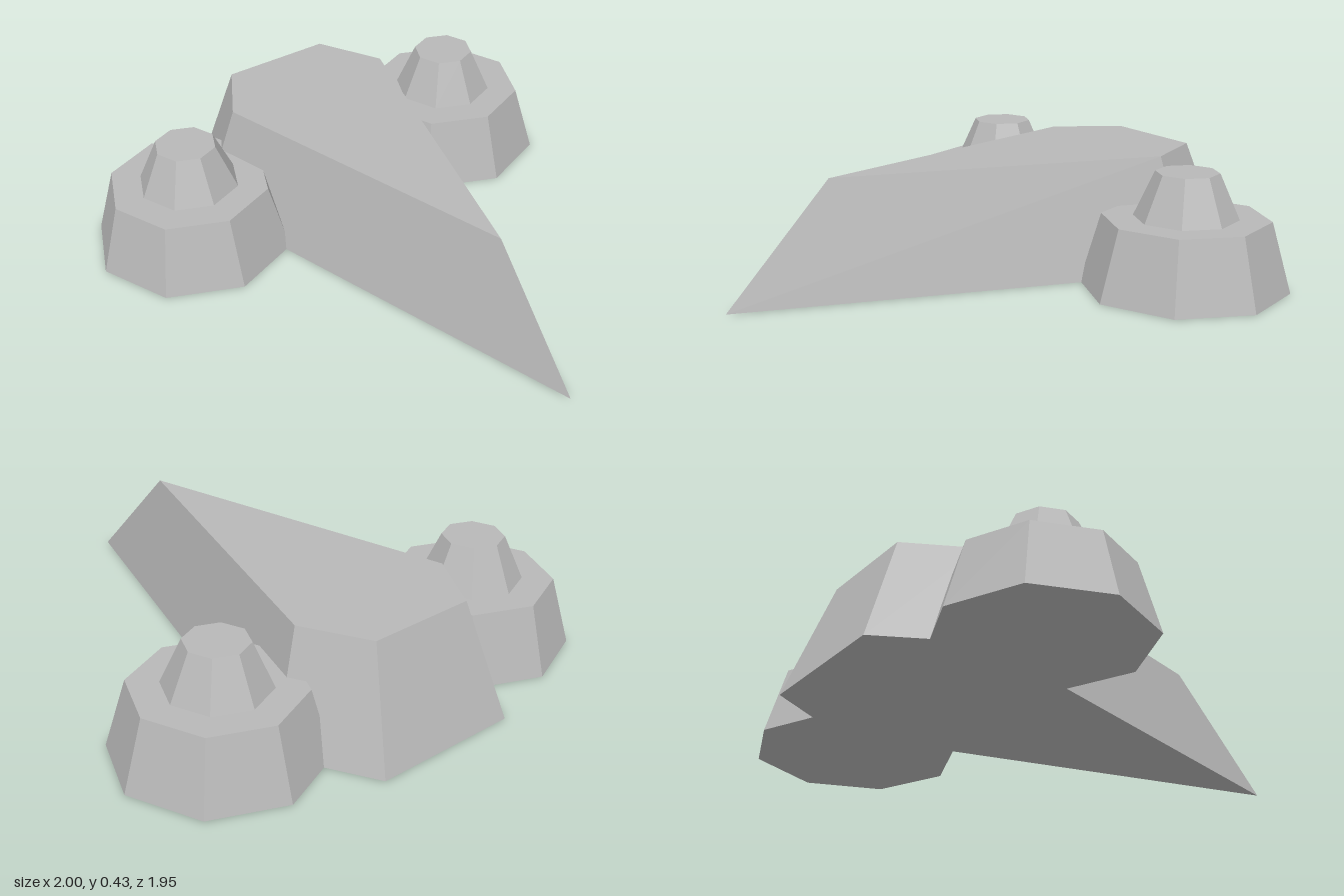
import * as THREE from 'three';

// Convex prism between a lower and an upper outline with matching corners ([x, z] pairs)
function taperedPrism(lower, upper, height) {
  const n = lower.length;
  const pos = [];
  const at = (ring, i, y) => [ring[i % n][0], y, ring[i % n][1]];
  for (let i = 0; i < n; i++) {
    const a = at(lower, i, 0), b = at(lower, i + 1, 0);
    const c = at(upper, i + 1, height), d = at(upper, i, height);
    pos.push(...a, ...b, ...c, ...a, ...c, ...d);
  }
  for (let i = 1; i < n - 1; i++) {
    pos.push(...at(upper, 0, height), ...at(upper, i, height), ...at(upper, i + 1, height));
    pos.push(...at(lower, 0, 0), ...at(lower, i + 1, 0), ...at(lower, i, 0));
  }
  const geo = new THREE.BufferGeometry();
  geo.setAttribute('position', new THREE.Float32BufferAttribute(pos, 3));
  geo.computeVertexNormals();
  return geo;
}

// Five-cornered outline, counter-clockwise from above: nose, shoulders and tail
const outline = (nose, shoulder, tail) => [
  [nose, 0],
  [shoulder[0], -shoulder[1]],
  [tail[0], -tail[1]],
  [tail[0], tail[1]],
  [shoulder[0], shoulder[1]],
];

export function createModel() {
  const model = new THREE.Group();
  const grey = new THREE.MeshStandardMaterial({ color: 0xb8b8b8, flatShading: true });
  grey.name = 'plain grey';

  const height = 0.427, stepHeight = 0.26;

  // Wedge body with flat sloping sides, pointing along +x
  const lower = outline(0.998, [-0.668, 0.471], [-1, 0.285]);
  const upper = outline(0.595, [-0.612, 0.342], [-0.853, 0.208]);
  const body = new THREE.Mesh(taperedPrism(lower, upper, height), grey);
  body.name = 'wedgeBody';
  model.add(body);

  // Stepped octagonal pod on each side
  for (const side of [1, -1]) {
    const pod = new THREE.Group();
    pod.name = side > 0 ? 'frontPod' : 'backPod';
    pod.position.set(-0.525, 0, side * 0.595);

    const base = new THREE.Mesh(new THREE.CylinderGeometry(0.305, 0.379, stepHeight, 8), grey);
    base.name = 'podBase';
    base.position.y = stepHeight / 2;

    const capHeight = height - stepHeight;
    const cap = new THREE.Mesh(new THREE.CylinderGeometry(0.115, 0.19, capHeight, 8), grey);
    cap.name = 'podCap';
    cap.position.y = stepHeight + capHeight / 2;

    pod.add(base, cap);
    model.add(pod);
  }
  return model;
}
